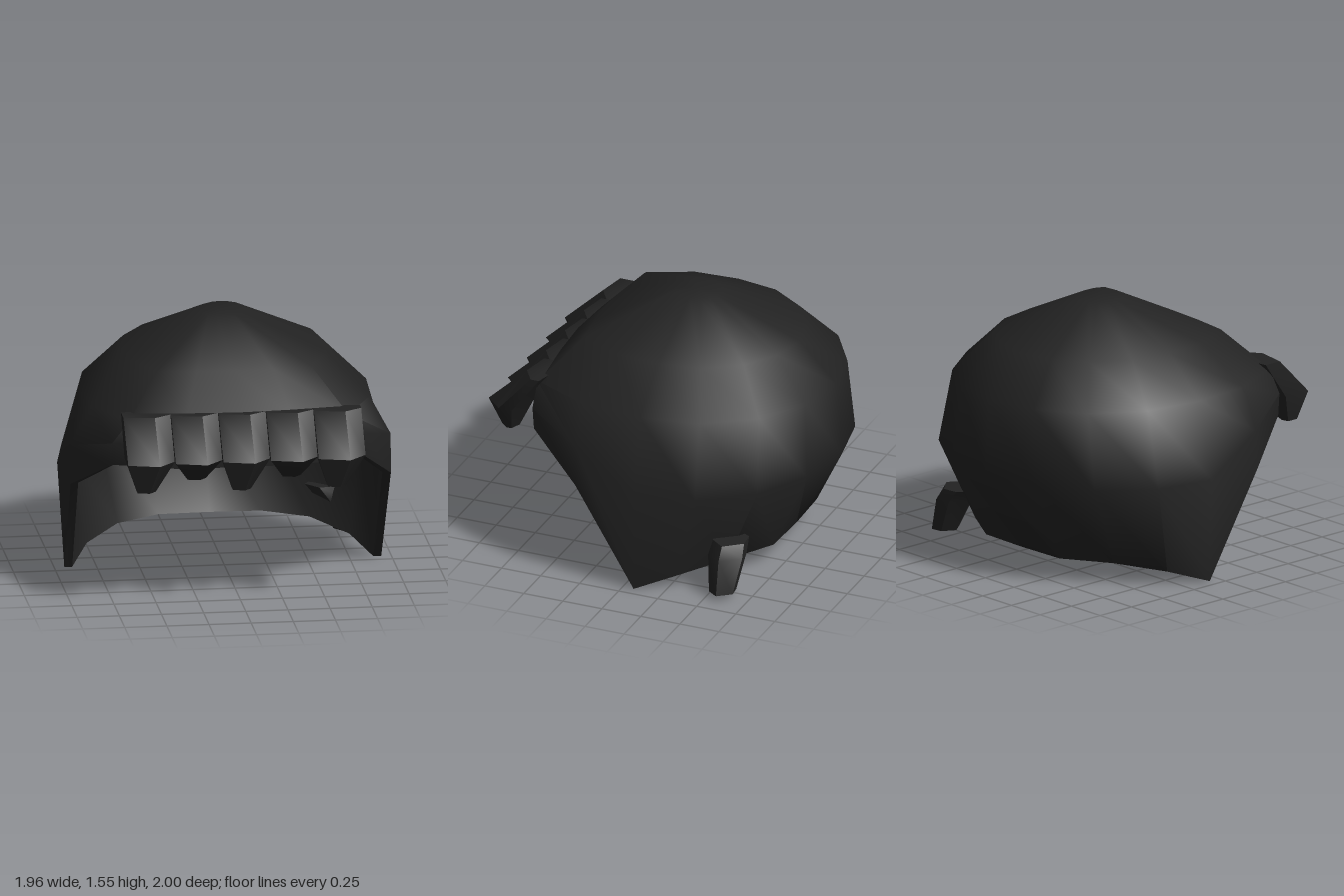
import * as THREE from 'three';
import { toCreasedNormals } from 'three/addons/utils/BufferGeometryUtils.js';

// Skin a list of rings (each counterclockwise from above, first ring on top), capping both ends.
function loft(rings, crease) {
  const n = rings[0].length, pos = [], idx = [];
  for (const ring of rings) for (const p of ring) pos.push(...p);
  for (let i = 0; i < rings.length - 1; i++) {
    for (let j = 0; j < n; j++) {
      const k = (j + 1) % n;
      const a = i * n + j, b = i * n + k, c = a + n, d = b + n;
      idx.push(a, c, d, a, d, b);
    }
  }
  const cap = (r, up) => {
    const centre = pos.length / 3;
    pos.push(...[0, 1, 2].map((q) => rings[r].reduce((s, p) => s + p[q], 0) / n));
    for (let j = 0; j < n; j++) {
      const a = r * n + j, b = r * n + (j + 1) % n;
      idx.push(centre, up ? a : b, up ? b : a);
    }
  };
  cap(0, true);
  cap(rings.length - 1, false);
  const g = new THREE.BufferGeometry();
  g.setAttribute('position', new THREE.Float32BufferAttribute(pos, 3));
  g.setIndex(idx);
  return toCreasedNormals(g, crease);
}

// Mirror a front-to-back half ring into a full ring.
const fullRing = (half) => [
  ...half,
  ...half.slice(1, -1).reverse().map(([x, y, z]) => [-x, y, z]),
];

function hairCap() {
  // Widest outline (x, z), from the brow round the side to the nape
  const outline = [[0, 0.72], [0.37, 0.7], [0.75, 0.66], [0.95, 0.29], [0.98, -0.09],
    [0.91, -0.45], [0.68, -0.75], [0.36, -0.93], [0, -1]];
  // Lower edge: fringe line, temple, sideburn point, nape
  const rim = [[0, 0.8, 0.71], [0.37, 0.8, 0.7], [0.75, 0.825, 0.65], [0.95, 0.615, 0.3],
    [0.94, 0, -0.07], [0.82, 0.08, -0.3], [0.6, 0.13, -0.53], [0.32, 0.13, -0.7], [0, 0.13, -0.71]];
  const dome = (y, rx, rz, cz) =>
    outline.map(([x, z]) => [(x / 0.98) * rx, y, cz + ((z + 0.14) / 0.86) * rz]);
  const widest = outline.map(([x, z], i) => [x, Math.max(0.64, (rim[i][1] + 1.09) / 2), z]);
  const outer = [dome(1.55, 0.13, 0.14, -0.09), dome(1.33, 0.6, 0.615, -0.115),
    dome(1.09, 0.85, 0.85, -0.12), widest, rim];
  // Inner wall, slightly smaller and joined to the outer wall along the rim
  const inner = outer.map((ring, i) => ring.map(([x, y, z]) =>
    [x * 0.95, i === outer.length - 1 ? y : y - 0.05, (z + 0.1) * 0.95 - 0.1])).reverse();
  return loft([...outer, ...inner].map(fullRing), 1.1);
}

// Six-sided section of a lock between x0..x1 and back..front, with an off-centre ridge
function lockRing(y, x0, x1, back, front) {
  const w = x1 - x0, d = front - back;
  return [[0, 0.8], [0.64, 1], [1, 0.58], [1, 0.25], [0.4, 0], [0, 0.1]]
    .map(([u, v]) => [x0 + u * w, y, back + v * d]);
}

export function createModel() {
  const group = new THREE.Group();
  const hair = new THREE.MeshStandardMaterial({ color: 0x222222 });
  hair.name = 'black hair';
  const add = (name, geometry) => {
    const mesh = new THREE.Mesh(geometry, hair);
    mesh.name = name;
    group.add(mesh);
  };

  add('hairCap', hairCap());

  // Five fringe locks; every second one curls back under
  for (let i = 0; i < 5; i++) {
    const x = -0.69 + i * 0.2825, curl = i % 2;
    add('fringeLock' + (i + 1), loft([
      lockRing(1.13, x, x + 0.285, 0.59, 0.75),
      lockRing(0.9, x, x + 0.285, 0.74, 0.995),
      curl ? lockRing(0.755, x + 0.09, x + 0.2, 0.7, 0.8)
        : lockRing(0.72, x + 0.06, x + 0.17, 0.83, 0.93),
    ], 0.9));
  }

  // Single stray lock flicking outward at the left of the nape
  const strayRing = (y, x0, x1, z0, z1) =>
    [[0, 0.55], [0.3, 1], [0.75, 0.9], [1, 0.5], [0.65, 0], [0.25, 0.05]]
      .map(([u, v]) => [x0 + u * (x1 - x0), y, z0 + v * (z1 - z0)]);
  add('strayLock', loft([
    strayRing(0.315, 0.55, 0.8, -0.68, -0.47),
    strayRing(0.24, 0.61, 0.85, -0.69, -0.46),
    strayRing(0.035, 0.72, 0.9, -0.66, -0.5),
  ], 0.9));

  return group;
}
